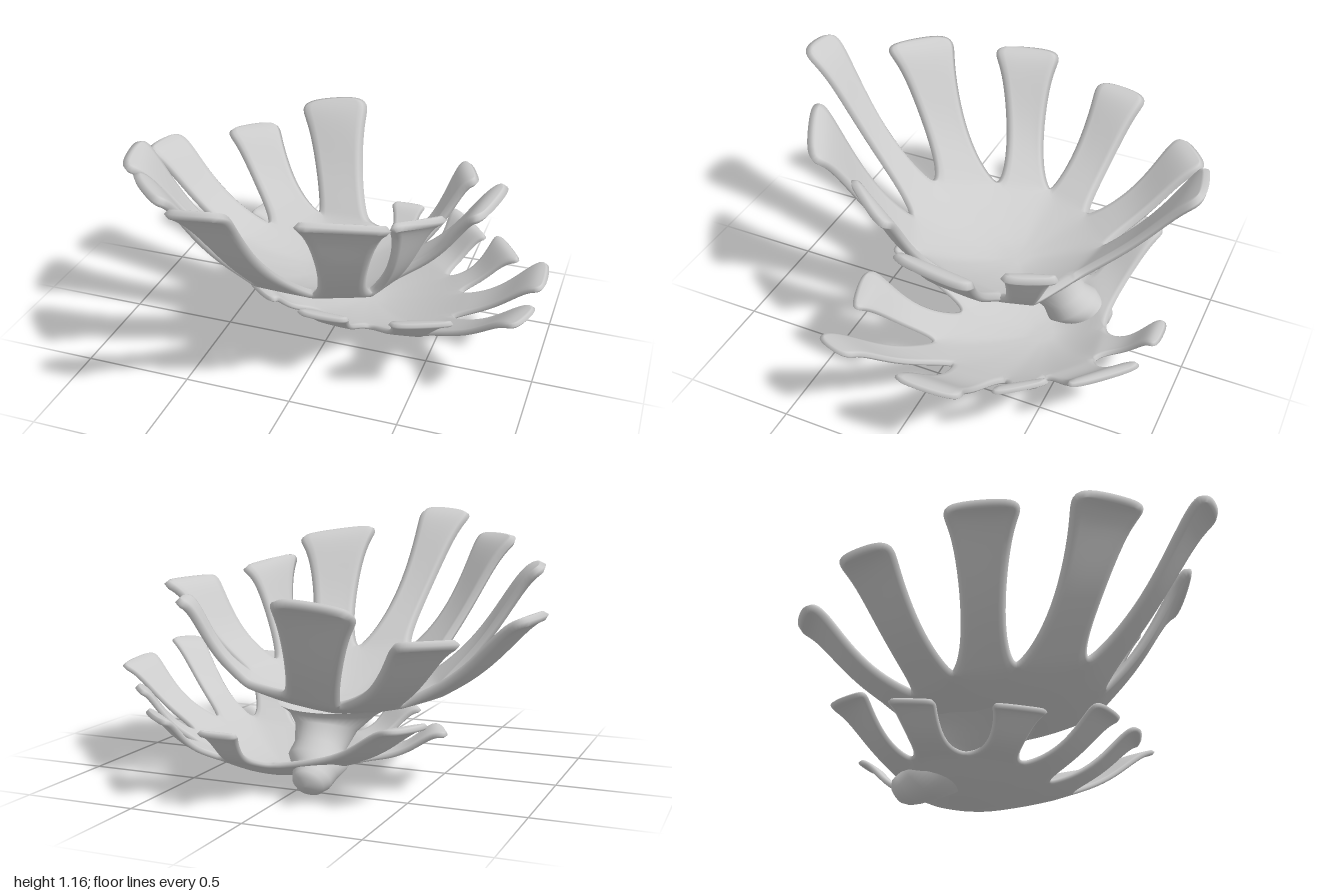
import * as THREE from 'three';
import { mergeVertices } from 'three/addons/utils/BufferGeometryUtils.js';

const material = new THREE.MeshStandardMaterial({ color: 0xcccccc });
const V = (a) => new THREE.Vector3(...a);

// Indexed geometry from a list of point rows, all the same length
function addRows(rows, pos, idx) {
  const base = pos.length / 3, n = rows[0].length;
  rows.flat().forEach((p) => pos.push(p.x, p.y, p.z));
  for (let i = 0; i < rows.length - 1; i++) for (let j = 0; j < n - 1; j++) {
    const a = base + i * n + j, b = a + n;
    idx.push(a, b, b + 1, a, b + 1, a + 1);
  }
}
function makeGeometry(pos, idx) {
  const g = new THREE.BufferGeometry();
  g.setAttribute('position', new THREE.Float32BufferAttribute(pos, 3));
  g.setIndex(idx);
  return mergeVertices(g);
}

// Relaxes the sheet; points on a free edge only follow that edge
function relax(P, edges, free, passes) {
  const near = new Map(), rimNear = new Map();
  const link = (map, a, b) => map.set(a, (map.get(a) || new Set()).add(b));
  for (const [p, q] of edges.values()) { link(near, p, q); link(near, q, p); }
  for (const [p, q] of free) { link(rimNear, p, q); link(rimNear, q, p); }
  for (let pass = 0; pass < passes; pass++) {
    const old = P.array.slice();
    for (const [i, all] of near) {
      const set = rimNear.get(i) || all;
      for (let k = 0; k < 3; k++) {
        let sum = 0;
        for (const j of set) sum += old[j * 3 + k];
        P.array[i * 3 + k] = (old[i * 3 + k] + sum / set.size) / 2;
      }
    }
  }
}

// Turns an open sheet into a softened, closed skin with rounded edges
function thicken(sheet, half) {
  const index = [...sheet.index.array], tris = [], edges = new Map();
  for (let i = 0; i < index.length; i += 3) {
    const [a, b, c] = index.slice(i, i + 3);
    if (a === b || b === c || a === c) continue;
    tris.push([a, b, c]);
    [[a, b], [b, c], [c, a]].forEach(([p, q]) => edges.set(p + '_' + q, [p, q]));
  }
  const free = [...edges.values()].filter(([p, q]) => !edges.has(q + '_' + p));
  relax(sheet.attributes.position, edges, free, 16);
  sheet.computeVertexNormals();
  const P = sheet.attributes.position, N = sheet.attributes.normal, n = P.count;
  const pos = [], idx = [];
  for (const side of [1, -1]) for (let i = 0; i < n; i++) {
    for (const k of [0, 1, 2]) pos.push(P.getComponent(i, k) + side * half * N.getComponent(i, k));
  }
  for (const [a, b, c] of tris) idx.push(a, b, c, a + n, c + n, b + n);
  // Rim: a middle line pushed outward along every free edge
  const rim = new Map(), mid = new Map();
  const at = (i) => new THREE.Vector3().fromBufferAttribute(P, i);
  for (const [p, q] of free) {
    const out = at(q).sub(at(p)).cross(new THREE.Vector3().fromBufferAttribute(N, p)).normalize();
    for (const i of [p, q]) rim.set(i, (rim.get(i) || new THREE.Vector3()).add(out));
  }
  for (const [i, out] of rim) {
    mid.set(i, pos.length / 3);
    pos.push(...at(i).addScaledVector(out.normalize(), half).toArray());
  }
  for (const [p, q] of free) {
    const mp = mid.get(p), mq = mid.get(q);
    idx.push(q, p, mp, q, mp, mq, mq, mp, p + n, mq, p + n, q + n);
  }
  const g = new THREE.BufferGeometry();
  g.setAttribute('position', new THREE.Float32BufferAttribute(pos, 3));
  g.setIndex(idx);
  g.computeVertexNormals();
  return g;
}

// A cup split into sectors; each sector runs from the centre to the rim and on into a lobe
function cup(name, centre, lobes, half, sag) {
  const C = V(centre), pos = [], idx = [], across = 10;
  lobes.forEach((lobe, k) => {
    const A = V(lobe.gap), B = V(lobes[(k + 1) % lobes.length].gap);
    const rows = [];
    for (let i = 0; i <= 10; i++) {
      const s = i / 10, row = [];
      for (let j = 0; j <= across; j++) {
        const e = A.clone().lerp(B, j / across), p = C.clone().lerp(e, s);
        p.y = C.y + (e.y - C.y) * s ** 1.8;
        row.push(p);
      }
      rows.push(row);
    }
    if (lobe.tip) {
      const { tip, neck = 0.065, lip = 0.045 } = lobe;
      const L = V(tip[0]), R = V(tip[1]);
      const M = A.clone().lerp(B, 0.5), T = L.clone().lerp(R, 0.5);
      const middle = M.clone().lerp(T, 0.5), bend = M.clone().lerp(T, 0.86);
      middle.y -= sag;
      bend.y += lip;
      const spine = new THREE.CatmullRomCurve3([M, middle, bend, T]);
      const baseDir = B.clone().sub(A), tipDir = R.clone().sub(L);
      const baseHalf = baseDir.length() / 2, tipHalf = tipDir.length() / 2;
      baseDir.normalize();
      tipDir.normalize();
      for (let i = 1; i <= 26; i++) {
        const q = i / 26, t = q < 0.5 ? 1.4 * q * q : 0.35 + (q - 0.5) * 1.3;
        const f = 1 - Math.min(t / 0.34, 1), fillet = 1 - Math.sqrt(1 - f * f);
        let w = neck + (baseHalf - neck) * fillet + (tipHalf - neck) * Math.min(t / 0.9, 1) ** 2.4;
        const r = Math.max(0, (t - 0.88) / 0.12);
        w *= 1 - 0.25 * (1 - Math.sqrt(1 - r * r));
        const c = spine.getPoint(t), d = baseDir.clone().lerp(tipDir, t).normalize();
        rows.push(Array.from({ length: across + 1 }, (_, j) =>
          c.clone().addScaledVector(d, w * (2 * j / across - 1))));
      }
    }
    addRows(rows, pos, idx);
  });
  const mesh = new THREE.Mesh(thicken(makeGeometry(pos, idx), half), material);
  mesh.name = name;
  return mesh;
}

// Stem with a rounded foot: rings of [x, y, z, radius, tilt]
function stem() {
  const rings = [
    [-0.06, 0.32, -0.2, 0.26, 0], [-0.06, 0.28, -0.25, 0.19, 0.1], [-0.06, 0.23, -0.32, 0.135, 0.35],
    [-0.06, 0.16, -0.39, 0.11, 0.55], [-0.07, 0.11, -0.43, 0.13, 0.6], [-0.08, 0.08, -0.49, 0.1, 0.8],
    [-0.09, 0.06, -0.54, 0.085, 0.95], [-0.09, 0.05, -0.58, 0.07, 1.05], [-0.09, 0.043, -0.603, 0.045, 1.1],
    [-0.09, 0.04, -0.612, 0.001, 1.1],
  ];
  const rows = rings.map(([x, y, z, r, tilt]) => Array.from({ length: 33 }, (_, j) => {
    const a = -j / 32 * Math.PI * 2, s = r * Math.sin(a);
    return new THREE.Vector3(x + r * Math.cos(a), y - s * Math.sin(tilt), z + s * Math.cos(tilt));
  }));
  const pos = [], idx = [];
  addRows(rows, pos, idx);
  const g = makeGeometry(pos, idx);
  g.computeVertexNormals();
  const mesh = new THREE.Mesh(g, material.clone());
  mesh.material.side = THREE.DoubleSide;
  mesh.name = 'stem';
  return mesh;
}

export function createModel() {
  const group = new THREE.Group();
  // Lobes run counterclockwise from the back, seen from above
  const upper = [
    { gap: [0.05, 0.39, -0.48], tip: [[-0.1, 0.86, -0.97], [-0.45, 0.81, -0.9]], neck: 0.1, lip: 0.01 },
    { gap: [-0.2, 0.37, -0.52], tip: [[-0.58, 0.69, -0.87], [-0.79, 0.69, -0.69]], neck: 0.08, lip: 0.03 },
    { gap: [-0.41, 0.36, -0.35], tip: [[-0.96, 0.75, -0.46], [-1.0, 0.76, -0.19]], neck: 0.08, lip: 0.03 },
    { gap: [-0.5, 0.37, -0.13], tip: [[-0.92, 0.92, -0.01], [-0.84, 0.92, 0.33]], neck: 0.06 },
    { gap: [-0.39, 0.41, 0.1], tip: [[-0.7, 1.02, 0.49], [-0.45, 1.02, 0.74]], neck: 0.075 },
    { gap: [-0.2, 0.48, 0.35], tip: [[-0.34, 1.11, 0.95], [-0.07, 1.14, 0.95]], neck: 0.055 },
    { gap: [0.06, 0.46, 0.33], tip: [[0.11, 1.05, 0.78], [0.5, 0.99, 0.58]], neck: 0.07 },
    { gap: [0.28, 0.44, 0.21], tip: [[0.42, 0.92, 0.44], [0.62, 0.85, 0.17]], neck: 0.05 },
    { gap: [0.34, 0.43, 0.01], tip: [[0.72, 0.82, 0.1], [0.78, 0.82, -0.31]], neck: 0.1 },
    { gap: [0.35, 0.42, -0.24], tip: [[0.62, 0.77, -0.35], [0.52, 0.77, -0.58]], neck: 0.045 },
    { gap: [0.29, 0.4, -0.38] },
  ];
  const lower = [
    { gap: [0.28, 0.14, -0.66], tip: [[0.25, 0.3, -0.92], [0.06, 0.3, -0.92]], neck: 0.035 },
    { gap: [0.05, 0.12, -0.63], tip: [[-0.52, 0.33, -0.74], [-0.6, 0.32, -0.5]], neck: 0.08 },
    { gap: [-0.27, 0.13, -0.43], tip: [[-0.63, 0.25, -0.38], [-0.54, 0.25, -0.2]], neck: 0.06 },
    { gap: [-0.23, 0.13, -0.2], tip: [[-0.4, 0.26, 0.0], [-0.19, 0.28, 0.19]], neck: 0.06 },
    { gap: [-0.03, 0.13, -0.02], tip: [[-0.03, 0.36, 0.35], [0.24, 0.38, 0.37]], neck: 0.065 },
    { gap: [0.22, 0.12, 0], tip: [[0.41, 0.41, 0.4], [0.71, 0.43, 0.3]], neck: 0.06 },
    { gap: [0.48, 0.15, 0.02], tip: [[0.94, 0.48, 0.34], [1.01, 0.49, 0.15]], neck: 0.055 },
    { gap: [0.58, 0.17, -0.12], tip: [[1.0, 0.45, -0.03], [0.98, 0.43, -0.35]], neck: 0.075 },
    { gap: [0.57, 0.16, -0.36], tip: [[0.85, 0.36, -0.4], [0.69, 0.38, -0.62]], neck: 0.045 },
    { gap: [0.47, 0.15, -0.51], tip: [[0.64, 0.31, -0.66], [0.39, 0.33, -0.93]], neck: 0.085 },
  ].map((lobe) => ({ lip: 0.025, ...lobe }));
  group.add(cup('upperCup', [-0.05, 0.29, -0.16], upper, 0.019, 0.04));
  group.add(cup('lowerCup', [0.1, 0.03, -0.38], lower, 0.012, 0.03));
  group.add(stem());
  return group;
}
